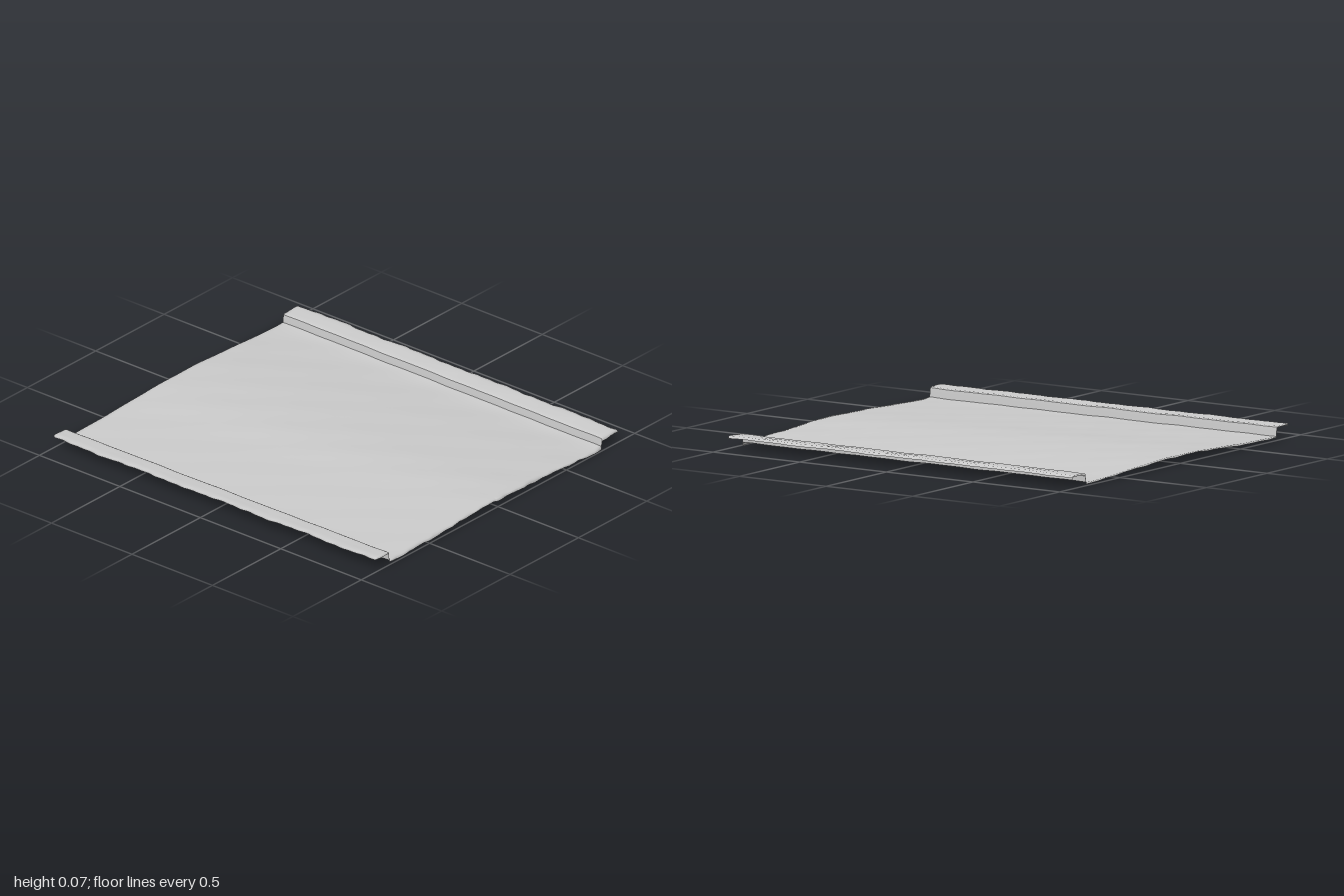
import * as THREE from 'three';

const ROWS = 100; // divisions along the road

// Gentle, repeatable unevenness of the worn surface
const ripple = (x, z) =>
  0.0012 * Math.sin(9 * x + 5 * z + 1) * Math.sin(7 * z - 4 * x) +
  0.0007 * Math.sin(23 * x - 17 * z) + 0.0005 * Math.sin(31 * z + 13 * x);

// Ragged outline, for the outer borders only
const ragged = (t) => 0.003 * Math.sin(13 * t) + 0.002 * Math.sin(37 * t + 1) + 0.002 * Math.sin(71 * t);

// Sweeps a cross-section [x, y] (running towards +x) from back to front,
// with a small turned-down lip at both ends
function sweep(name, section, material) {
  const pos = [], index = [], n = section.length;
  const rows = [{ z: -0.997, drop: 0.008 }];
  for (let i = 0; i <= ROWS; i++) rows.push({ z: -0.997 + 1.992 * i / ROWS, drop: 0 });
  rows.push({ z: 0.997, drop: 0.013 });

  for (const { z, drop } of rows) {
    for (const [x, y] of section) {
      const border = Math.abs(x) > 0.87 ? ragged(z + x) : 0;
      const frontBorder = z > 0.99 ? ragged(x) * 0.8 - 0.003 : 0;
      const skew = x < 0 ? 0.006 * z : -0.004 * z;
      const sag = drop * (1 + 60 * ragged(x * 0.7));
      pos.push(x + border + skew, Math.max(0, y + ripple(x, z) - sag), z + frontBorder);
    }
  }
  for (let r = 0; r < rows.length - 1; r++) {
    for (let c = 0; c < n - 1; c++) {
      const a = r * n + c, b = a + n;
      index.push(a, b, a + 1, b, b + 1, a + 1);
    }
  }
  const geometry = new THREE.BufferGeometry();
  geometry.setAttribute('position', new THREE.Float32BufferAttribute(pos, 3));
  geometry.setIndex(index);
  geometry.computeVertexNormals();
  const mesh = new THREE.Mesh(geometry, material);
  mesh.name = name;
  return mesh;
}

export function createModel() {
  const group = new THREE.Group();
  group.name = 'roadSection';
  const material = new THREE.MeshStandardMaterial({ color: 0xcccccc, side: THREE.DoubleSide });

  // Cambered road surface, highest along the middle
  const camber = new THREE.SplineCurve([
    [-0.795, 0.025], [-0.7, 0.026], [-0.4, 0.036], [-0.15, 0.046], [0, 0.048],
    [0.15, 0.046], [0.4, 0.035], [0.68, 0.021], [0.773, 0.023],
  ].map(([x, y]) => new THREE.Vector2(x, y)));
  const road = camber.getPoints(72).map((p) => [p.x, p.y]);
  group.add(sweep('roadSurface', road, material));

  // Right side: pavement strip with outer lip, then kerb face
  group.add(sweep('rightPavement', [
    [-0.893, 0.062], [-0.893, 0.073], [-0.885, 0.076], [-0.86, 0.075], [-0.83, 0.073], [-0.808, 0.073], [-0.799, 0.069],
  ], material));
  group.add(sweep('rightKerbFace', [[-0.799, 0.069], [-0.797, 0.05], [-0.795, 0.025]], material));

  // Left side: kerb face, then pavement strip with outer lip
  group.add(sweep('leftKerbFace', [[0.773, 0.023], [0.775, 0.045], [0.777, 0.062]], material));
  group.add(sweep('leftPavement', [
    [0.777, 0.062], [0.785, 0.066], [0.81, 0.067], [0.84, 0.07], [0.87, 0.071], [0.885, 0.07], [0.889, 0.058],
  ], material));

  return group;
}
